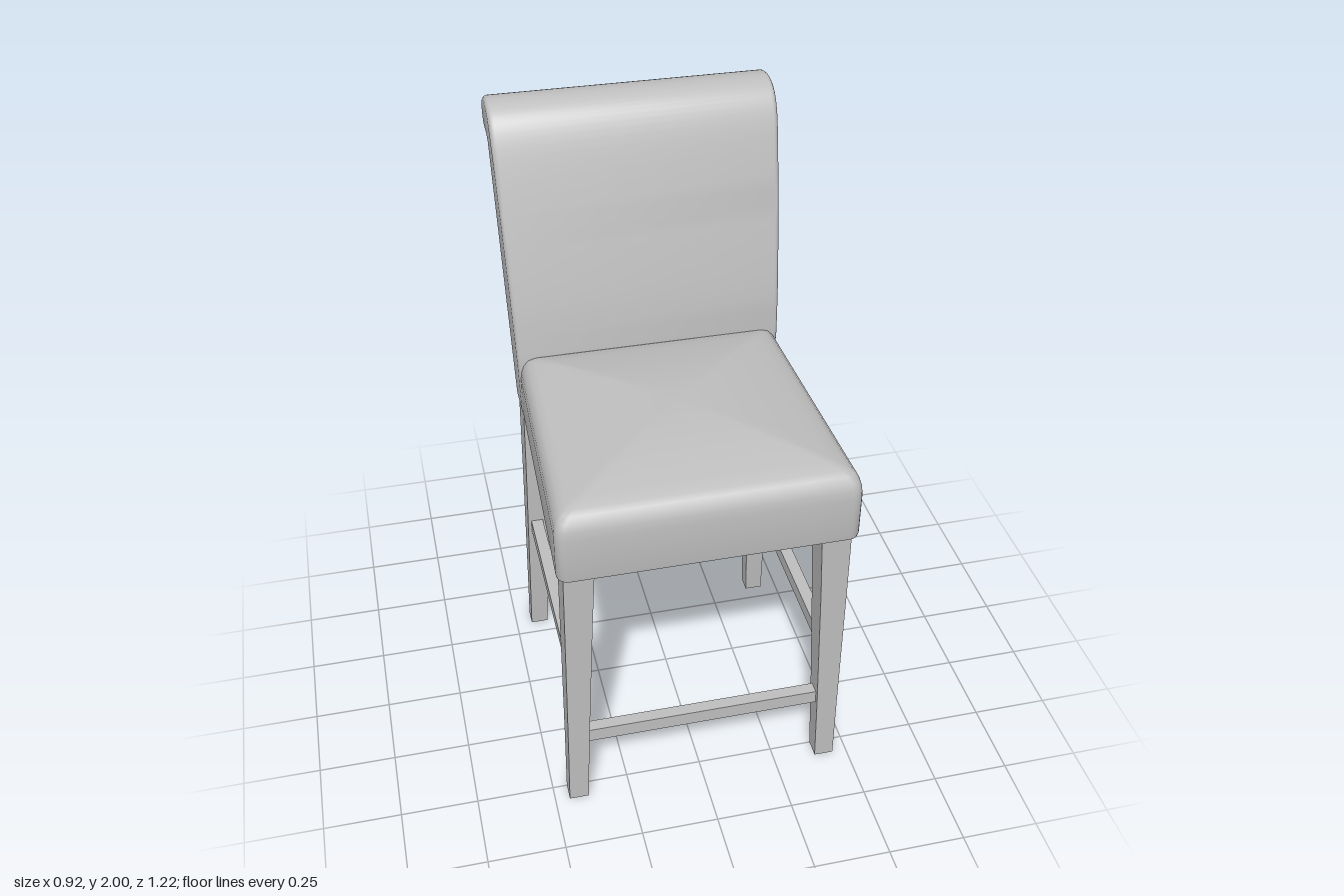
import * as THREE from 'three';
import { toCreasedNormals } from 'three/addons/utils/BufferGeometryUtils.js';

const grey = new THREE.MeshStandardMaterial({ color: 0xbfbfbf });
grey.name = 'grey';

function add(group, geometry, name) {
  const mesh = new THREE.Mesh(geometry, grey);
  mesh.name = name;
  group.add(mesh);
  return mesh;
}

// Rounded trapezoid footprint of the seat, inset all round
function footprint(inset) {
  const zBack = -0.27, zFront = 0.61, points = [];
  const r = Math.max(0.035 - inset * 0.3, 0.012);
  const corners = [[1, 1, 0], [-1, 1, 1], [-1, -1, 2], [1, -1, 3]];
  for (const [sx, sz, quarter] of corners) {
    const halfWidth = (sz > 0 ? 0.46 : 0.43) - inset;
    const z = sz > 0 ? zFront - inset : zBack + inset;
    for (let i = 0; i <= 5; i++) {
      const a = (quarter + i / 5) * Math.PI / 2;
      points.push([sx * (halfWidth - r) + r * Math.cos(a), z - sz * r + r * Math.sin(a)]);
    }
    // Points along the straight edge to the next corner
    const [nx, nz] = corners[(quarter + 1) % 4];
    const nextHalf = (nz > 0 ? 0.46 : 0.43) - inset;
    const nextZ = nz > 0 ? zFront - inset : zBack + inset;
    const along = quarter % 2 === 0;
    const start = points[points.length - 1];
    const end = along ? [nx * (nextHalf - r), start[1]] : [nx * nextHalf, nextZ - nz * r];
    for (let i = 1; i < 8; i++) {
      points.push([0, 1].map(k => start[k] + (end[k] - start[k]) * i / 8));
    }
  }
  return points;
}

// Seat cushion: straight sides, rolled edge and a gently domed top
function seatGeometry() {
  const rings = [];
  const levels = [[0.002, 0.99], [0, 1.0], [0, 1.14], [0.003, 1.17], [0.011, 1.195], [0.025, 1.212], [0.045, 1.222]];
  for (const [inset, y] of levels) rings.push(footprint(inset).map(([x, z]) => [x, y, z]));
  const rim = footprint(0.045), zMid = 0.17;
  for (let i = 1; i <= 10; i++) {
    const k = 1 - i / 10 * 0.999;
    rings.push(rim.map(([x, z]) => [x * k, 1.222 + 0.046 * (1 - k * k), zMid + (z - zMid) * k]));
  }
  const n = rim.length, index = [];
  for (let j = 0; j < rings.length - 1; j++) {
    for (let i = 0; i < n; i++) {
      const a = j * n + i, b = j * n + (i + 1) % n;
      index.push(a, a + n, b, b, a + n, b + n);
    }
  }
  // Flat underside
  const positions = rings.flat(2), centre = positions.length / 3;
  positions.push(0, 0.99, zMid);
  for (let i = 0; i < n; i++) index.push(centre, i, (i + 1) % n);
  const geometry = new THREE.BufferGeometry();
  geometry.setAttribute('position', new THREE.Float32BufferAttribute(positions, 3));
  geometry.setIndex(index);
  return toCreasedNormals(geometry, 0.7);
}

// Backrest: side profile with a scrolled top, extruded across and widened upwards
function backGeometry() {
  const v = (z, y) => new THREE.Vector2(-z, y);
  const shape = new THREE.Shape();
  shape.moveTo(0.37, 0.99);
  shape.lineTo(0.42, 1.31);
  shape.lineTo(0.47, 1.64);
  shape.lineTo(0.503, 1.86);
  shape.lineTo(0.52, 1.871);
  shape.splineThru([v(-0.56, 1.874), v(-0.592, 1.893), v(-0.607, 1.932), v(-0.594, 1.968), v(-0.56, 1.991),
    v(-0.51, 2.0), v(-0.46, 1.99), v(-0.42, 1.962), v(-0.39, 1.91), v(-0.36, 1.82), v(-0.32, 1.67),
    v(-0.28, 1.5), v(-0.25, 1.35), v(-0.23, 1.2)]);
  shape.lineTo(0.235, 0.99);
  const bevel = 0.018;
  let geometry = new THREE.ExtrudeGeometry(shape, {
    depth: 2 - 2 * bevel, steps: 1, curveSegments: 3, bevelEnabled: true,
    bevelThickness: bevel * 2, bevelSize: bevel, bevelOffset: -bevel, bevelSegments: 4,
  });
  geometry.translate(0, 0, -1 + bevel);
  geometry.rotateY(Math.PI / 2);
  geometry.computeBoundingBox();
  const half = geometry.boundingBox.max.x;
  const p = geometry.attributes.position;
  for (let i = 0; i < p.count; i++) {
    const width = 0.432 + 0.023 * Math.min(1, Math.max(0, (p.getY(i) - 1) / 0.9));
    p.setX(i, p.getX(i) / half * width);
  }
  return toCreasedNormals(geometry, 0.7);
}

// Tapered square leg; each section is [y, xInner, xOuter, zBack, zFront]
function legGeometry(sections, side) {
  const geometry = new THREE.BoxGeometry(1, 1, 1, 1, sections.length - 1, 1);
  const p = geometry.attributes.position;
  for (let i = 0; i < p.count; i++) {
    const s = sections[Math.round((p.getY(i) + 0.5) * (sections.length - 1))];
    const outer = p.getX(i) * side > 0;
    p.setXYZ(i, side * (outer ? s[2] : s[1]), s[0], p.getZ(i) > 0 ? s[4] : s[3]);
  }
  geometry.computeVertexNormals();
  return geometry;
}

export function createModel() {
  const model = new THREE.Group();
  model.name = 'counterChair';
  add(model, seatGeometry(), 'seat');
  add(model, backGeometry(), 'backrest');

  const front = [[0, 0.39, 0.453, 0.498, 0.558], [0.25, 0.381, 0.449, 0.494, 0.564],
    [0.5, 0.37, 0.446, 0.489, 0.57], [0.75, 0.359, 0.443, 0.484, 0.576], [1.0, 0.346, 0.44, 0.48, 0.58]];
  const back = [[0, 0.386, 0.445, -0.358, -0.302], [0.25, 0.375, 0.441, -0.346, -0.28],
    [0.5, 0.364, 0.437, -0.339, -0.263], [0.75, 0.353, 0.432, -0.341, -0.251], [1.0, 0.342, 0.428, -0.346, -0.246]];
  for (const [side, label] of [[1, 'left'], [-1, 'right']]) {
    add(model, legGeometry(front, side), label + 'FrontLeg');
    add(model, legGeometry(back, side), label + 'BackLeg');
    // Side stretcher
    const bar = add(model, new THREE.BoxGeometry(0.04, 0.048, 0.77), label + 'Stretcher');
    bar.position.set(side * 0.405, 0.496, 0.115);
  }
  // Lower cross stretchers
  for (const [z, name] of [[0.529, 'frontStretcher'], [-0.313, 'backStretcher']]) {
    add(model, new THREE.BoxGeometry(0.78, 0.048, 0.04), name).position.set(0, 0.273, z);
  }
  return model;
}
